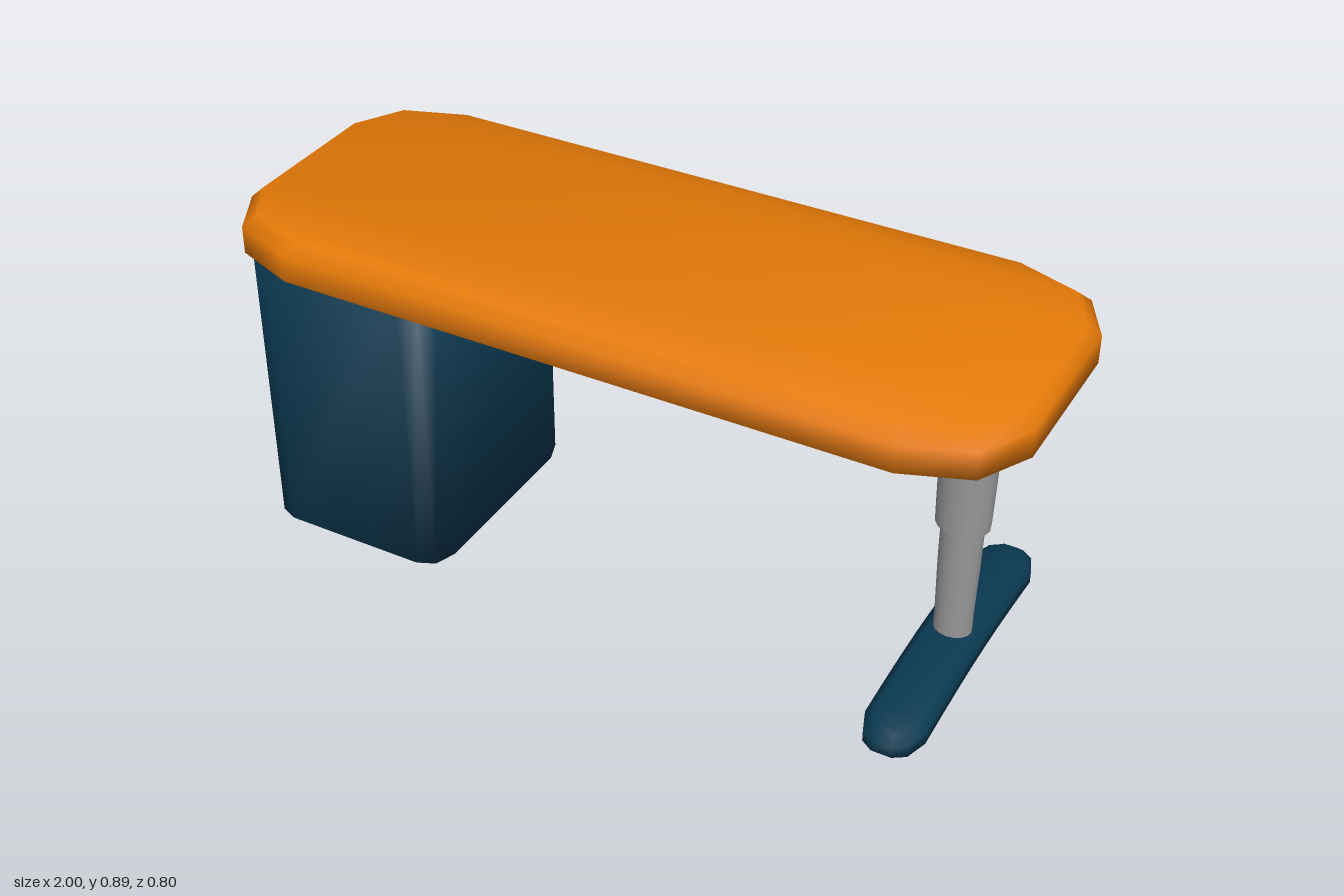
import * as THREE from 'three';
import { mergeVertices } from 'three/addons/utils/BufferGeometryUtils.js';

// Smooth normals in which every face counts alike, whatever its size
function smooth(geo) {
  const pos = geo.getAttribute('position');
  const index = geo.getIndex();
  const normals = Array.from({ length: pos.count }, () => new THREE.Vector3());
  const tri = new THREE.Triangle();
  const face = new THREE.Vector3();
  for (let t = 0; t < index.count; t += 3) {
    const corners = [0, 1, 2].map((k) => index.getX(t + k));
    tri.setFromAttributeAndIndices(pos, ...corners);
    tri.getNormal(face);
    corners.forEach((c) => normals[c].add(face));
  }
  const flat = normals.flatMap((v) => v.normalize().toArray());
  geo.setAttribute('normal', new THREE.Float32BufferAttribute(flat, 3));
  return geo;
}

// Closed plan outline from one quarter ([x, z] from the +z end round to the +x side)
function outline(quarter) {
  const side = [...quarter, ...[...quarter].reverse().map(([x, z]) => [x, -z])];
  return [...side, ...[...side].reverse().map(([x, z]) => [-x, z])];
}

// Solid stack of inset copies of an outline: levels are [y, inset]; lift(z) bends it
function loft(points, levels, lift = () => 0) {
  const n = points.length;
  const hx = Math.max(...points.map((p) => p[0]));
  const hz = Math.max(...points.map((p) => p[1]));
  const pos = [];
  const idx = [];
  for (const [y, inset] of levels) {
    for (const [x, z] of points) {
      pos.push(x * (1 - inset / hx), y + lift(z), z * (1 - inset / hz));
    }
  }
  for (let l = 0; l < levels.length - 1; l++) {
    for (let i = 0; i < n; i++) {
      const a = l * n + i;
      const b = l * n + ((i + 1) % n);
      idx.push(a, b, b + n, a, b + n, a + n);
    }
  }
  // Caps are strips joining mirrored points
  const last = (levels.length - 1) * n;
  for (let i = 0; i < n / 2 - 1; i++) {
    const [a, b, c, d] = [i, i + 1, n - 2 - i, n - 1 - i];
    idx.push(last + a, last + b, last + c, last + a, last + c, last + d);
    idx.push(a, c, b, a, d, c);
  }
  const geo = new THREE.BufferGeometry();
  geo.setAttribute('position', new THREE.Float32BufferAttribute(pos, 3));
  geo.setIndex(idx);
  return smooth(geo);
}

// Box with one shared normal per corner
function softBox(w, h, d) {
  const box = new THREE.BoxGeometry(w, h, d);
  box.deleteAttribute('normal');
  box.deleteAttribute('uv');
  return smooth(mergeVertices(box));
}

export function createModel() {
  const desk = new THREE.Group();
  desk.name = 'desk';

  const mat = (name, color) =>
    Object.assign(new THREE.MeshStandardMaterial({ color }), { name });
  const orange = mat('orange', 0xe67a08);
  const navy = mat('dark blue', 0x0a3a52);
  const grey = mat('grey', 0x989898);

  const add = (name, geo, material, x = 0, y = 0, z = 0, parent = desk) => {
    const m = new THREE.Mesh(geo, material);
    m.name = name;
    m.position.set(x, y, z);
    parent.add(m);
  };

  // Tabletop: solid slab with cut corners and a bevelled upper rim
  const topPlan = outline([[0.77, 0.39], [0.93, 0.33], [1, 0.2]]);
  add('tabletop', loft(topPlan, [[0.795, 0], [0.865, 0], [0.893, 0.03]]), orange);

  // Drawer cabinet
  const cabX = -0.705;
  const cabPlan = outline([[0.19, 0.31], [0.235, 0.29], [0.255, 0.235]]);
  add('cabinet', loft(cabPlan, [[0, 0], [0.8, 0]]), navy, cabX);

  // Handle: bowed bar, drawn in plan and extruded upwards
  const bar = new THREE.Shape([
    [-0.095, 0], [0.095, 0], [0.09, 0.014], [0.055, 0.03], [-0.055, 0.03], [-0.09, 0.014],
  ].map(([x, z]) => new THREE.Vector2(x, z)));
  const handleGeo = new THREE.ExtrudeGeometry(bar, { depth: 0.032, bevelEnabled: false });
  handleGeo.rotateX(-Math.PI / 2);
  handleGeo.translate(0, -0.016, 0);
  handleGeo.scale(1, 1, 1);

  // Drawers: [bottom, top, handle height]
  const drawers = new THREE.Group();
  drawers.name = 'drawers';
  desk.add(drawers);
  for (const [y0, y1, hy] of [[0.59, 0.733, 0.684], [0.427, 0.572, 0.523], [0.1, 0.4, 0.345]]) {
    add('drawerFront', softBox(0.345, y1 - y0, 0.02), orange,
      cabX, (y0 + y1) / 2, -0.317, drawers);
    add('drawerHandle', handleGeo, navy, cabX, hy, -0.327, drawers);
  }

  // Telescopic leg: two oval stages
  const legX = 0.797;
  const stage = (pts) => {
    const geo = new THREE.LatheGeometry(pts.map(([r, y]) => new THREE.Vector2(r, y)), 16);
    geo.scale(1, 1, 0.84);
    return geo;
  };
  add('upperLeg', stage([[0.065, 0.41], [0.066, 0.43], [0.071, 0.65], [0.073, 0.72], [0.073, 0.8]]),
    grey, legX);
  add('upperLegEnd', stage([[0, 0.41], [0.065, 0.41]]), grey, legX);
  add('lowerLeg', stage([[0.047, 0.08], [0.047, 0.15], [0.051, 0.3], [0.052, 0.42]]), grey, legX);

  // Arched foot with rounded ends and a bevelled upper rim
  const footPlan = outline([
    [0.025, 0.4], [0.055, 0.38], [0.075, 0.325], [0.075, 0.22], [0.075, 0.12], [0.075, 0.04],
  ]);
  const arch = (z) => 0.022 * Math.cos((Math.PI / 2) * Math.min(1, Math.abs(z) / 0.36));
  add('foot', loft(footPlan, [[0.028, 0], [0.06, 0], [0.08, 0.022]], arch), navy, legX);

  return desk;
}
